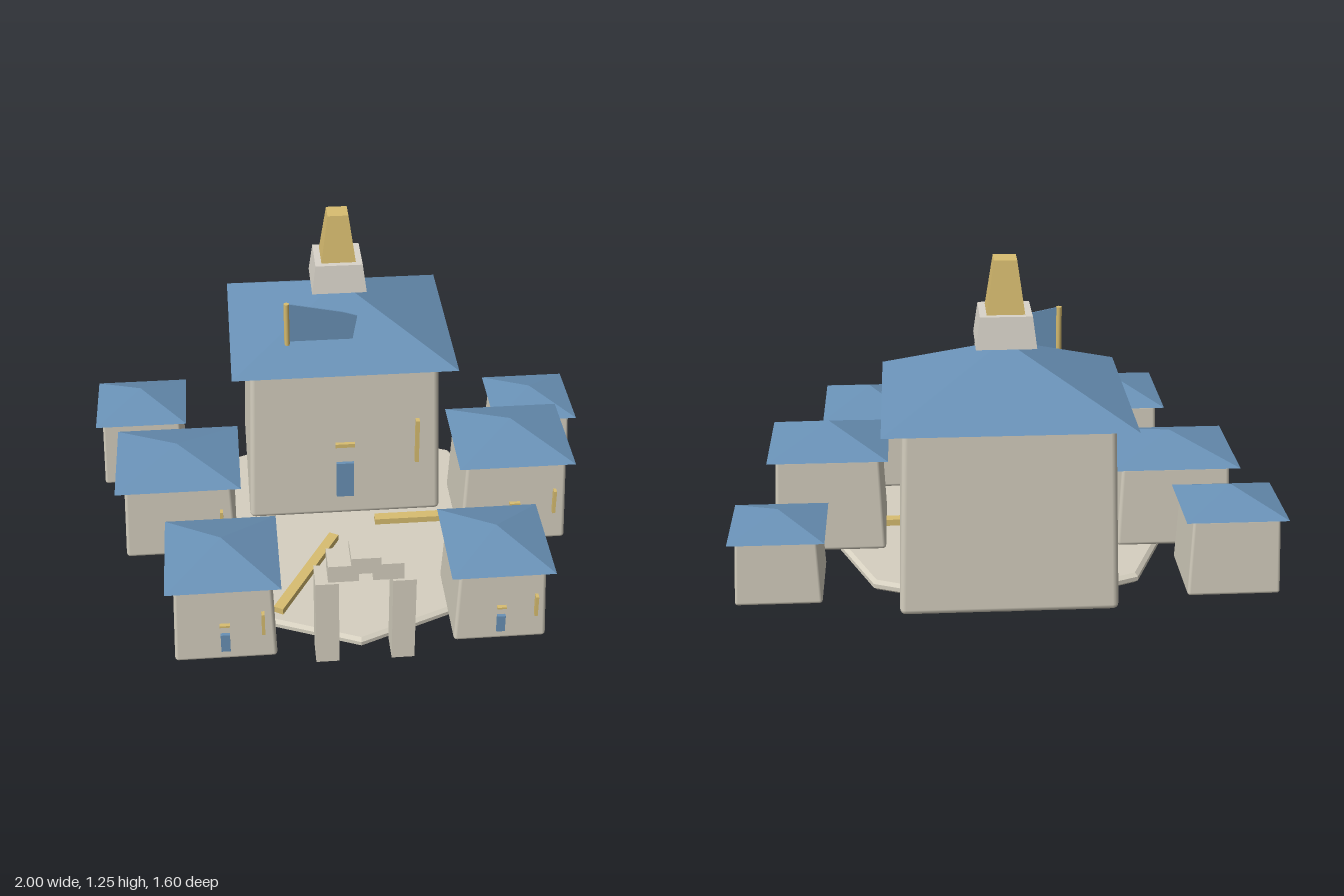
import * as THREE from 'three';
import { RoundedBoxGeometry } from 'three/addons/geometries/RoundedBoxGeometry.js';

const make = (name, color) => {
  const m = new THREE.MeshStandardMaterial({ color });
  m.name = name;
  return m;
};

export function createModel() {
  const plaster = make('plaster', 0xd6d0c0);
  const stone = make('pale stone', 0xd9d4ca);
  const blue = make('roof blue', 0x6991b6);
  const gold = make('gold', 0xd8bd70);
  const model = new THREE.Group();

  const add = (parent, name, geometry, material, x = 0, y = 0, z = 0) => {
    const mesh = new THREE.Mesh(geometry, material);
    mesh.name = name;
    mesh.position.set(x, y, z);
    parent.add(mesh);
    return mesh;
  };
  const box = (parent, name, mat, w, h, d, x, y, z) =>
    add(parent, name, new THREE.BoxGeometry(w, h, d), mat, x, y, z);

  const flat = (geometry) => {
    const g = geometry.toNonIndexed();
    g.computeVertexNormals();
    return g;
  };
  // Square frustum or pyramid standing on y = 0
  const frustum = (w, d, h, top) => {
    const g = new THREE.CylinderGeometry(top * Math.SQRT1_2, Math.SQRT1_2, h, 4);
    return flat(g.rotateY(Math.PI / 4).scale(w, 1, d).translate(0, h / 2, 0));
  };
  // Soft-edged block, narrower at the top
  const walls = (w, h, d, inset, r) => {
    const g = new RoundedBoxGeometry(w, h, d, 2, r);
    const p = g.attributes.position;
    for (let i = 0; i < p.count; i++) {
      const t = p.getY(i) / h + 0.5;
      p.setX(i, p.getX(i) * (1 - (2 * inset * t) / w));
      p.setZ(i, p.getZ(i) * (1 - (2 * inset * t) / d));
    }
    return g.translate(0, h / 2, 0);
  };

  const ground = 0.04;

  // Octagonal plinth with bevelled rims
  const plinth = [[0, 0], [0.68, 0], [0.695, 0.012], [0.695, 0.028], [0.68, 0.04], [0, 0.04]];
  add(model, 'plinth', flat(new THREE.LatheGeometry(plinth.map((p) => new THREE.Vector2(...p)), 8)), plaster);

  // Houses: centre x, z; wall width, depth, eave height, ridge height; roof width, depth
  const houses = [
    ['mainHall', 0.005, -0.417, 0.78, 0.697, 0.735, 0.945, 0.88, 0.765, 0.022, 0.022],
    ['frontRightHouse', -0.502, 0.558, 0.375, 0.395, 0.37, 0.45, 0.415, 0.425, 0.012, 0.014],
    ['frontLeftHouse', 0.511, 0.539, 0.345, 0.385, 0.35, 0.425, 0.38, 0.415, 0.014, 0.014],
    ['middleRightHouse', -0.662, -0.06, 0.44, 0.4, 0.362, 0.44, 0.485, 0.43, 0.014, 0.015],
    ['middleLeftHouse', 0.658, -0.037, 0.425, 0.395, 0.413, 0.5, 0.455, 0.425, 0.016, 0.015],
    ['backRightHouse', -0.815, -0.518, 0.34, 0.32, 0.335, 0.41, 0.37, 0.337, 0.012, 0.012],
    ['backLeftHouse', 0.828, -0.497, 0.315, 0.32, 0.285, 0.345, 0.345, 0.345, 0.012, 0.012],
  ];
  for (const [name, x, z, w, d, eave, ridge, rw, rd, inset, r] of houses) {
    const house = new THREE.Group();
    house.name = name;
    house.position.set(x, ground, z);
    model.add(house);
    const h = eave - ground;
    add(house, 'walls', walls(w, h, d, inset, r), plaster);
    add(house, 'roof', frustum(rw, rd, ridge - eave, 0), blue, 0, h, 0);
    // Door, lintel and banner follow the slope of the front wall
    const front = (t) => d / 2 - inset * t;
    box(house, 'door', blue, w * 0.09, h * 0.235, 0.024, 0, h * 0.255, front(0.25));
    box(house, 'lintel', gold, w * 0.1, h * 0.024, 0.03, 0, h * 0.495, front(0.5));
    box(house, 'banner', gold, 0.008 + w * 0.01, h * 0.285, 0.028, w * 0.37, h * 0.505, front(0.5) + 0.006);
  }

  // Spire on the main roof
  add(model, 'spireBase', frustum(0.215, 0.21, 0.115, 0.86), stone, 0.003, 0.945, -0.415);
  add(model, 'spire', frustum(0.135, 0.135, 0.19, 0.6), gold, 0.003, 1.06, -0.415);

  // Flag and pole
  add(model, 'flagPole', new THREE.CylinderGeometry(0.011, 0.011, 0.2, 8), gold, -0.213, 0.887, -0.172);
  const cloth = new THREE.Shape([[-0.205, 0.985], [-0.205, 0.82], [0.042, 0.82], [0.06, 0.922], [0, 0.942]]
    .map((p) => new THREE.Vector2(...p)));
  add(model, 'flag', new THREE.ExtrudeGeometry(cloth, { depth: 0.005, bevelEnabled: false }), blue, 0, 0, -0.175);

  // Gate: two pillars and three arch stones
  const gate = new THREE.Group();
  gate.name = 'gate';
  gate.position.set(0.004, 0, 0.745);
  model.add(gate);
  for (const s of [-1, 1]) {
    box(gate, 'gatePillar', plaster, 0.084, 0.365, 0.108, s * 0.138, 0.2225, 0);
    box(gate, 'archStone', plaster, 0.11, 0.07, 0.104, s * 0.08, 0.447, 0);
  }
  box(gate, 'keystone', plaster, 0.106, 0.068, 0.106, 0, 0.479, 0);

  // Low golden beams across the court
  const beam = (x0, z0, x1, z1) => {
    const m = box(model, 'courtBeam', gold, Math.hypot(x1 - x0, z1 - z0), 0.03, 0.04,
      (x0 + x1) / 2, 0.051, (z0 + z1) / 2);
    m.rotation.y = -Math.atan2(z1 - z0, x1 - x0);
  };
  beam(-0.055, 0.09, -0.3, 0.52);
  beam(0.12, -0.007, 0.5, -0.007);

  return model;
}
